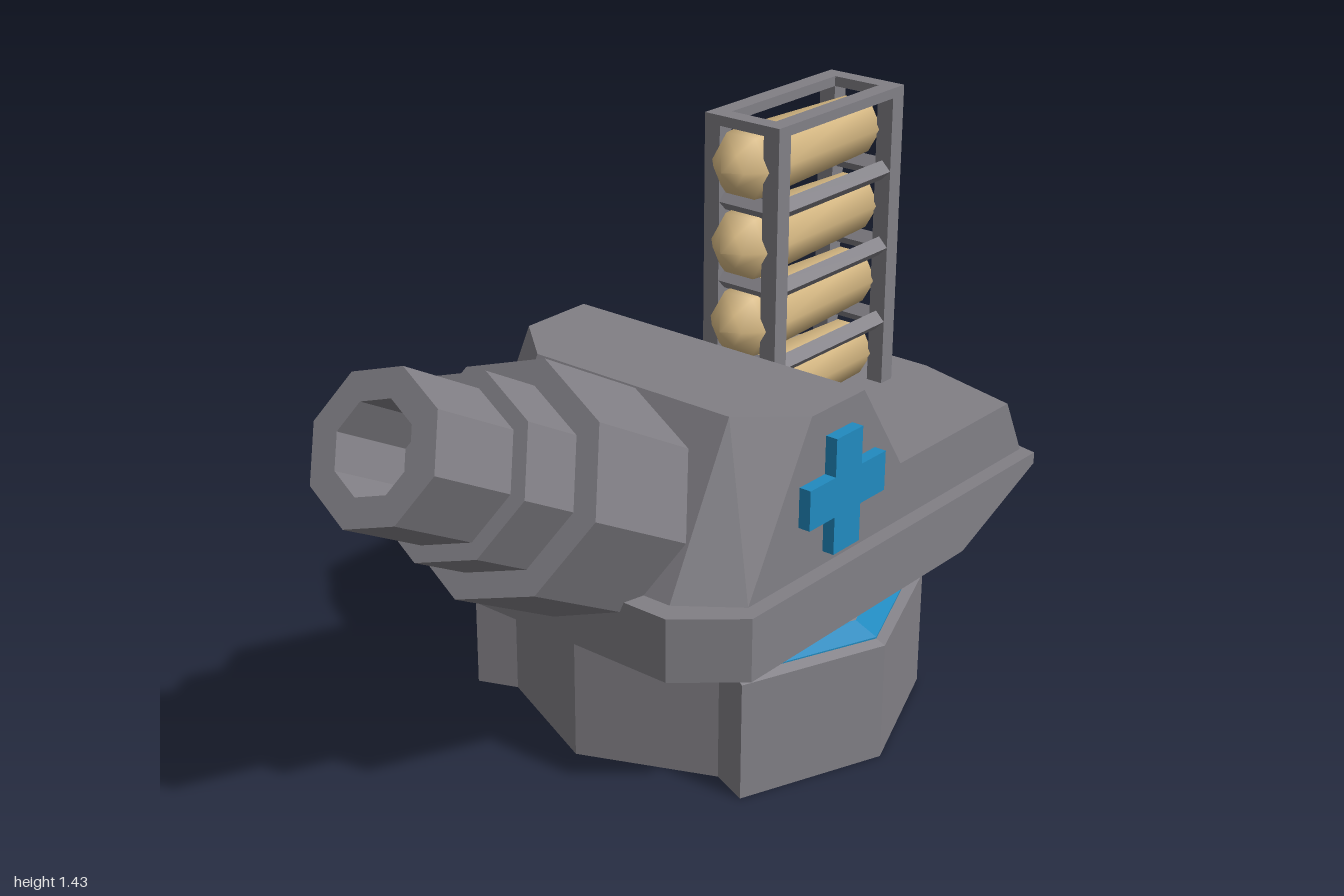
import * as THREE from 'three';
import { toCreasedNormals } from 'three/addons/utils/BufferGeometryUtils.js';
import { ConvexGeometry } from 'three/addons/geometries/ConvexGeometry.js';

const V = (x, y, z) => new THREE.Vector3(x, y, z);

// Convex solid from [x, y, z] points, each mirrored across x = 0
const mirroredHull = (pts) =>
  new ConvexGeometry(pts.flatMap(([x, y, z]) => [V(x, y, z), V(-x, y, z)]));

// Flat-faced geometry from a list of quads
function quadGeometry(quads) {
  const pts = quads.flatMap(([a, b, c, d]) => [a, b, c, a, c, d]);
  const g = new THREE.BufferGeometry().setFromPoints(pts);
  g.computeVertexNormals();
  return g;
}

export function createModel() {
  const model = new THREE.Group();
  model.name = 'gunTurret';

  const grey = new THREE.MeshStandardMaterial({ color: 0x817f85, flatShading: true, side: THREE.DoubleSide });
  grey.name = 'armour grey';
  const blue = new THREE.MeshStandardMaterial({ color: 0x218abf, flatShading: true });
  blue.name = 'team blue';
  const brass = new THREE.MeshStandardMaterial({ color: 0xd8ba84 });
  brass.name = 'shell brass';

  const add = (name, geometry, material, parent = model) => {
    const mesh = new THREE.Mesh(geometry, material);
    mesh.name = name;
    parent.add(mesh);
    return mesh;
  };
  const box = (name, w, h, d, x, y, z, material, parent) =>
    add(name, new THREE.BoxGeometry(w, h, d), material, parent).position.set(x, y, z);

  // Base: open-bottomed octagon with a sloped shoulder on each side
  // [x, z, wall top, inner x, inner z]
  const half = [
    [0, 0.305, 0.34], [0.322, 0.165, 0.34],
    [0.42, 0.205, 0.3, 0.322, 0.165], [0.56, -0.155, 0.3, 0.46, -0.155], [0.42, -0.515, 0.3, 0.322, -0.475],
    [0.322, -0.475, 0.34], [0, -0.615, 0.34],
  ];
  const ring = [...half, ...half.slice(1, 6).reverse().map(([x, z, t, ix, iz]) => [-x, z, t, -ix, iz])];
  const quads = [];
  ring.forEach((p, i) => {
    const q = ring[(i + 1) % ring.length];
    const pTop = V(p[0], p[2], p[1]), qTop = V(q[0], q[2], q[1]);
    quads.push([V(p[0], 0, p[1]), V(q[0], 0, q[1]), qTop, pTop]);
    if (p[2] > 0.32 || q[2] > 0.32) return;
    const pIn = V(p[3], 0.34, p[4]), qIn = V(q[3], 0.34, q[4]);
    quads.push([pTop, qTop, qIn, pIn]);
    // Blue inlay, stopping short of the far corners and meeting at the middle ridge
    const s0 = Math.abs(p[0]) > 0.5 ? 0 : 0.08, s1 = Math.abs(q[0]) > 0.5 ? 1 : 0.92;
    const corners = [];
    for (const s of [s0, s1]) for (const t of [0.25, 0.85]) for (const dy of [-0.004, 0.004]) {
      const c = pTop.clone().lerp(qTop, s).lerp(pIn.clone().lerp(qIn, s), t);
      corners.push(c.add(V(0, dy, 0)));
    }
    add('shoulderInlay', new ConvexGeometry(corners), blue);
  });
  add('base', quadGeometry(quads), grey);

  // Hull: slab with a rising tail, rear deck and front tower
  add('hullSlab', mirroredHull([
    [0.325, 0.34, 0.36], [0.47, 0.34, 0.235], [0.47, 0.34, -0.615],
    [0.325, 0.5, 0.36], [0.47, 0.5, 0.235], [0.47, 0.5, -0.93],
    [0.47, 0.47, -0.93], [0.13, 0.5, -1],
  ]), grey);
  add('rearDeck', mirroredHull([
    [0.43, 0.49, -0.3], [0.43, 0.65, -0.3], [0.43, 0.65, -0.85],
    [0.13, 0.65, -0.93], [0.43, 0.5, -0.925], [0.13, 0.5, -0.995],
  ]), grey);
  add('tower', mirroredHull([
    [0.43, 0.5, 0.2], [0.29, 0.5, 0.305], [0.43, 0.5, -0.48],
    [0.43, 0.89, -0.02], [0.29, 0.89, 0.1], [0.43, 0.89, -0.22],
  ]), grey);

  // Cross badge on each flank
  const arm = 0.145, w = 0.05;
  const cross = new THREE.Shape([
    [w, arm], [-w, arm], [-w, w], [-arm, w], [-arm, -w], [-w, -w],
    [-w, -arm], [w, -arm], [w, -w], [arm, -w], [arm, w], [w, w],
  ].map(([x, y]) => new THREE.Vector2(x, y)));
  const crossGeometry = new THREE.ExtrudeGeometry(cross, { depth: 0.035, bevelEnabled: false });
  for (const side of [1, -1]) {
    const badge = add(side > 0 ? 'leftCross' : 'rightCross', crossGeometry, blue);
    badge.rotation.y = side * Math.PI / 2;
    badge.position.set(side * 0.426, 0.68, -0.125);
  }

  // Barrel: stepped octagon with a hollow muzzle
  const barrelProfile = [
    [0.28, 0], [0.28, 0.427], [0.217, 0.427], [0.217, 0.6], [0.177, 0.6],
    [0.177, 0.85], [0.107, 0.85], [0.107, 0.63], [0, 0.63],
  ].map(([r, y]) => new THREE.Vector2(r, y));
  const barrelGeometry = new THREE.LatheGeometry(barrelProfile, 8);
  barrelGeometry.rotateY(-0.05);
  const barrel = add('barrel', barrelGeometry, grey);
  barrel.position.set(0.001, 0.605, 0.171);
  barrel.rotation.set(THREE.MathUtils.degToRad(61.1), 0, -0.02);

  // Ammunition rack: corner posts, top frame and ridged dividers
  const rack = new THREE.Group();
  rack.name = 'ammoRack';
  model.add(rack);
  const zMid = -0.55, xOut = 0.11, zOut = 0.25, post = 0.045;
  const divider = (length, alongX) => {
    const g = new THREE.CylinderGeometry(0.025, 0.025, length, 4);
    return alongX ? g.rotateZ(Math.PI / 2) : g.rotateX(Math.PI / 2);
  };
  for (const s of [1, -1]) {
    for (const t of [1, -1])
      box('rackPost', post, 0.785, post, s * (xOut - post / 2), 1.0325, zMid + t * (zOut - post / 2), grey, rack);
    box('topSideRail', post, 0.025, 0.42, s * (xOut - post / 2), 1.4125, zMid, grey, rack);
    box('topEndRail', 0.14, 0.025, post, 0, 1.4125, zMid + s * (zOut - post / 2), grey, rack);
    for (const y of [0.818, 1.016, 1.214]) {
      add('sideDivider', divider(0.46, false), grey, rack).position.set(s * (xOut - 0.025), y, zMid);
      add('endDivider', divider(0.18, true), grey, rack).position.set(0, y, zMid + s * (zOut - 0.025));
    }
  }

  // Shells: six-sided, tapering to the back, pointed at the front
  const shellProfile = [[0, -0.765], [0.074, -0.765], [0.088, -0.34], [0.085, -0.3], [0.045, -0.255], [0, -0.228]]
    .map(([r, y]) => new THREE.Vector2(r, y));
  const shellGeometry = toCreasedNormals(new THREE.LatheGeometry(shellProfile, 6), 1.2);
  shellGeometry.rotateY(Math.PI / 2).rotateX(Math.PI / 2);
  for (let i = 0; i < 4; i++)
    add('shell', shellGeometry, brass, rack).position.set(-0.002, 0.722 + i * 0.1975, 0);

  return model;
}
